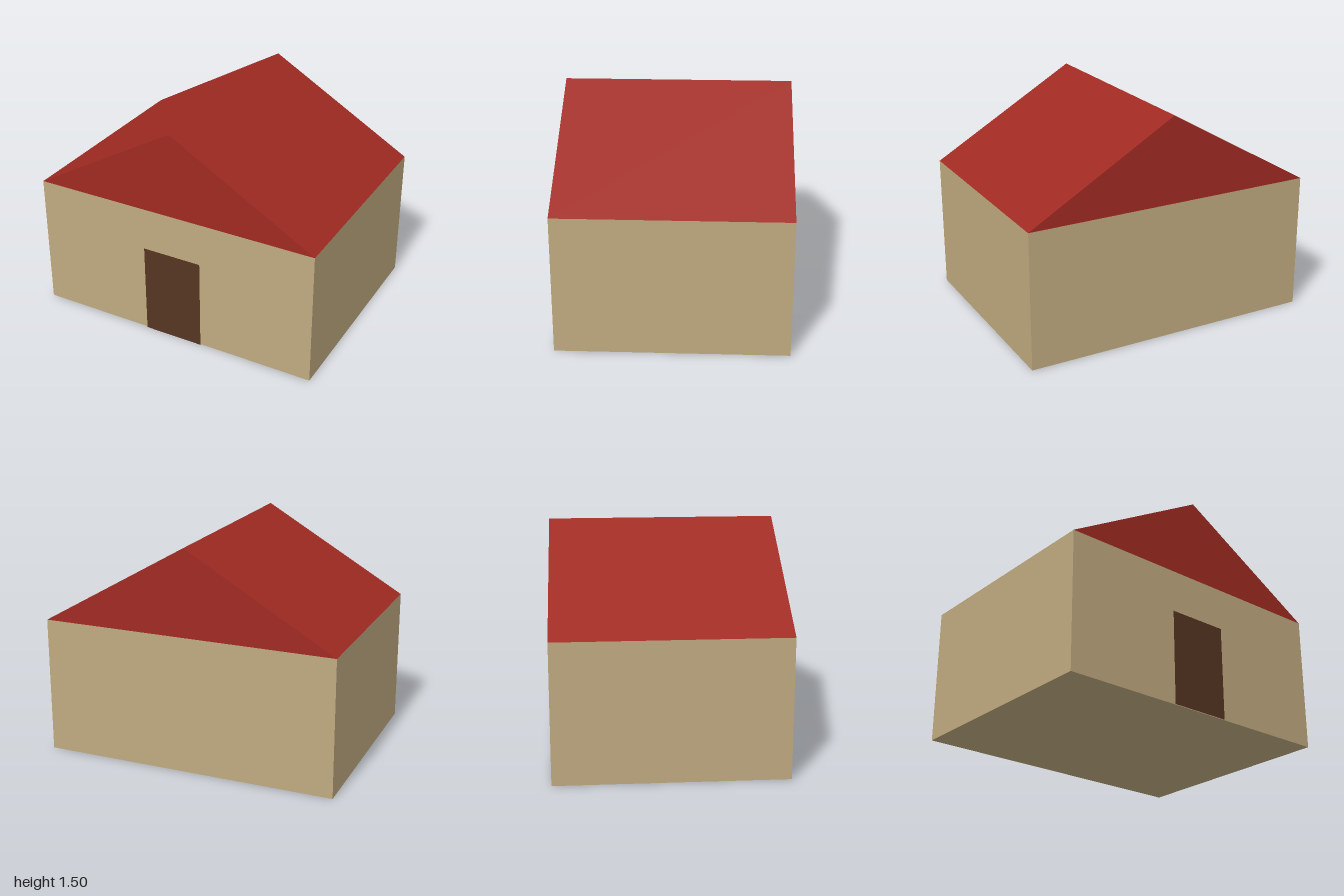
import * as THREE from 'three';

const WIDTH = 2, DEPTH = 1.5, EAVE = 0.92, RIDGE = 1.5, BODY_Z = -0.004;

function part(name, geometry, color, extra = {}) {
  const material = new THREE.MeshStandardMaterial({ color, ...extra });
  const mesh = new THREE.Mesh(geometry, material);
  mesh.name = name;
  return mesh;
}

export function createModel() {
  const house = new THREE.Group();
  house.name = 'house';

  // Plain box of walls
  const walls = part('walls', new THREE.BoxGeometry(WIDTH, EAVE, DEPTH), 0xc0aa80);
  walls.position.set(0, EAVE / 2, BODY_Z);

  // Gabled roof: a triangular prism flush with the walls
  const gable = new THREE.Shape([
    new THREE.Vector2(-WIDTH / 2, EAVE),
    new THREE.Vector2(WIDTH / 2, EAVE),
    new THREE.Vector2(0, RIDGE),
  ]);
  const roof = part('roof',
    new THREE.ExtrudeGeometry(gable, { depth: DEPTH, bevelEnabled: false }), 0xa02a22);
  roof.position.z = BODY_Z - DEPTH / 2;

  // Thin door panel just in front of the front wall
  const door = part('door', new THREE.PlaneGeometry(0.415, 0.63), 0x553522,
    { side: THREE.DoubleSide });
  door.position.set(0, 0.315, BODY_Z + DEPTH / 2 + 0.008);

  house.add(walls, roof, door);
  return house;
}
